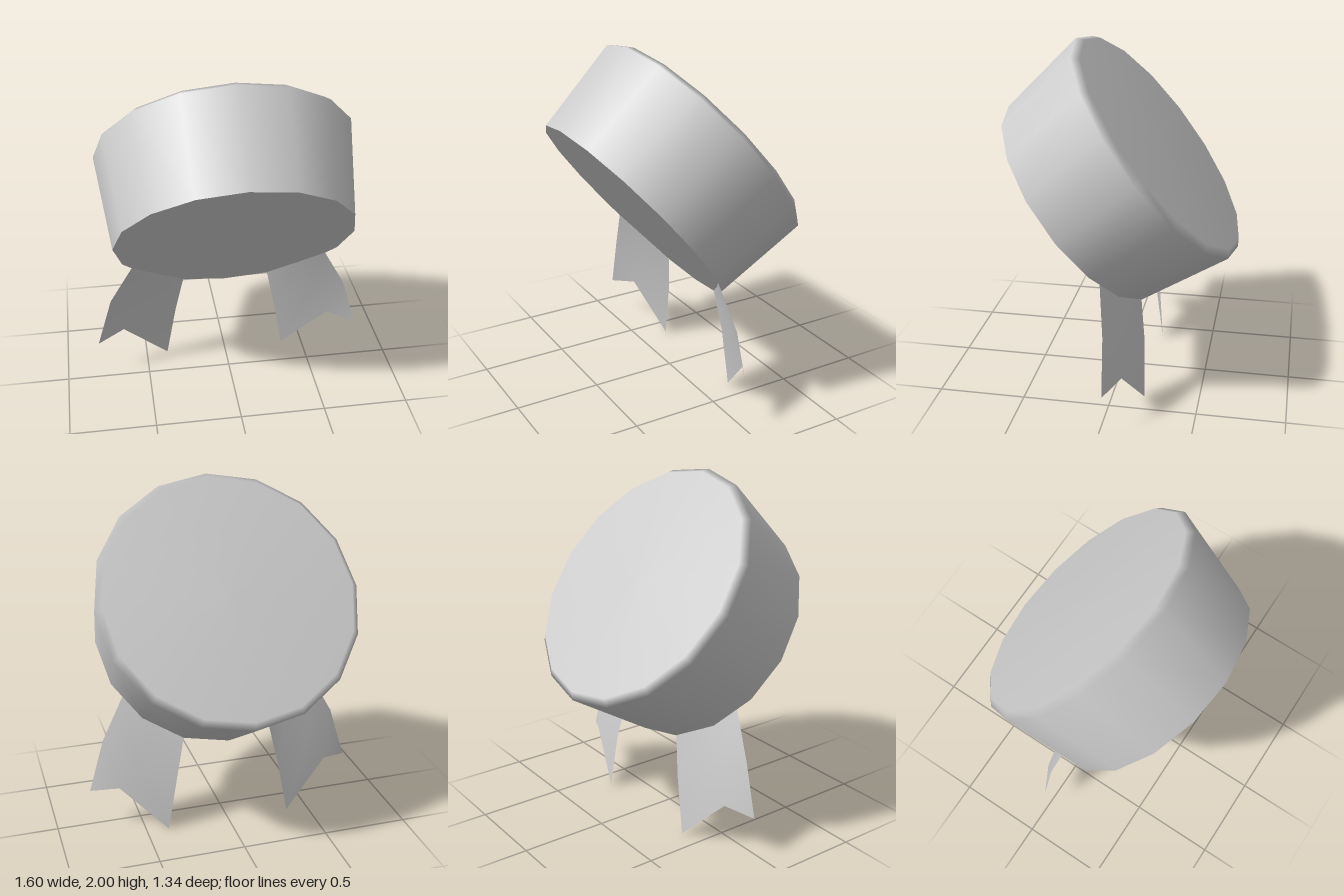
import * as THREE from 'three';

const SIDES = 16;

// Ribbon cross rows from the hat brim down to the forked end: outer, middle, inner
const RIBBON_ROWS = [
  [[0.575, 0.80, 0.03], [0.42, 0.69, -0.06], [0.26, 0.577, -0.147]],
  [[0.71, 0.55, -0.01], [0.53, 0.45, -0.095], [0.31, 0.34, -0.175]],
  [[0.80, 0.24, -0.02], [0.64, 0.275, -0.10], [0.37, 0.005, -0.187]],
];

// Builds one ribbon tail; side is +1 for left, -1 for right
function ribbonGeometry(side) {
  const positions = [];
  const index = [];
  for (const row of RIBBON_ROWS) {
    for (const [x, y, z] of row) positions.push(x * side, y, z);
  }
  for (let r = 0; r < 2; r++) {
    for (let c = 0; c < 2; c++) {
      const a = r * 3 + c, b = a + 1, d = a + 3, e = a + 4;
      if (side > 0) index.push(a, b, e, a, e, d);
      else index.push(a, e, b, a, d, e);
    }
  }
  const geometry = new THREE.BufferGeometry();
  geometry.setAttribute('position', new THREE.Float32BufferAttribute(positions, 3));
  geometry.setIndex(index);
  geometry.computeVertexNormals();
  return geometry;
}

export function createModel() {
  const model = new THREE.Group();
  model.name = 'ribbonedCap';
  const grey = new THREE.MeshStandardMaterial({ color: 0xcccccc, side: THREE.DoubleSide });
  grey.name = 'lightGrey';

  // Tilted cap body
  const cap = new THREE.Group();
  cap.name = 'cap';
  cap.position.set(0, 1.067, 0.243);
  cap.rotation.x = -0.897;
  model.add(cap);

  // Flaring wall, small bevel and flat crown
  const profile = [[0.682, 0], [0.75, 0.563], [0.712, 0.597], [0, 0.602]];
  const crown = new THREE.Mesh(
    new THREE.LatheGeometry(profile.map(([r, h]) => new THREE.Vector2(r, h)), SIDES), grey);
  crown.name = 'crown';
  cap.add(crown);

  // Flat underside
  const base = new THREE.Mesh(new THREE.CircleGeometry(0.682, SIDES), grey);
  base.name = 'underside';
  base.rotation.x = Math.PI / 2;
  cap.add(base);

  // Forked ribbon tails
  for (const side of [1, -1]) {
    const ribbon = new THREE.Mesh(ribbonGeometry(side), grey);
    ribbon.name = side > 0 ? 'leftRibbon' : 'rightRibbon';
    model.add(ribbon);
  }
  return model;
}
